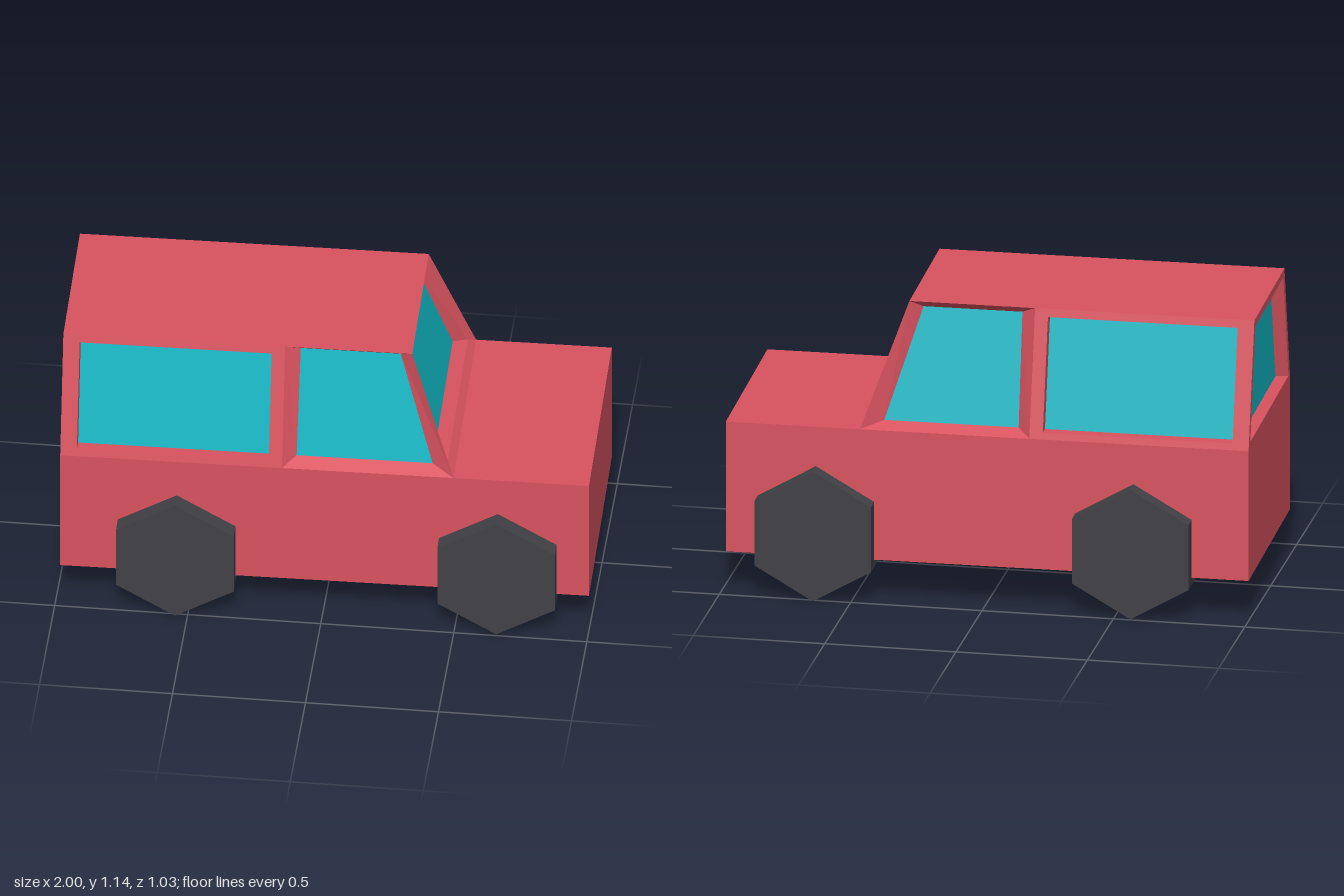
import * as THREE from 'three';

const Y0 = 0.665, Y1 = 1.14;          // cabin base and roof heights
const BACK = -0.992, COWL = 0.483, BROW = 0.317; // cabin ends along x
const W0 = 0.437, W1 = 0.316;         // half widths at base and roof
const halfWidth = y => THREE.MathUtils.lerp(W0, W1, (y - Y0) / (Y1 - Y0));

function mat(name, color) {
  const m = new THREE.MeshStandardMaterial({ color });
  m.name = name;
  return m;
}

// Flat-shaded mesh from quads whose corners run counter-clockwise from outside
function quadMesh(name, quads, material) {
  const pos = [];
  for (const [a, b, c, d] of quads) pos.push(...a, ...b, ...c, ...a, ...c, ...d);
  const g = new THREE.BufferGeometry();
  g.setAttribute('position', new THREE.Float32BufferAttribute(pos, 3));
  g.computeVertexNormals();
  const mesh = new THREE.Mesh(g, material);
  mesh.name = name;
  return mesh;
}

// Strip of quads joining an outer ring to an inner ring
const band = (outer, inner) => outer.map((p, i) => {
  const j = (i + 1) % outer.length;
  return [p, outer[j], inner[j], inner[i]];
});

// Points on the sloping left side, optionally sunk inwards
const onSide = (pts, sink = 0) => pts.map(([x, y]) => [x, y, halfWidth(y) - sink]);
const mirror = ring => ring.map(([x, y, z]) => [x, y, -z]).reverse();

export function createModel() {
  const paint = mat('red paint', 0xd8535f);
  const glass = mat('teal glass', 0x11b6c2);
  const rubber = mat('dark rubber', 0x414147);
  const car = new THREE.Group();
  car.name = 'car';

  // Lower body
  const body = new THREE.Mesh(new THREE.BoxGeometry(1.984, Y0 - 0.155, 2 * W0), paint);
  body.name = 'lowerBody';
  body.position.y = (Y0 + 0.155) / 2;
  car.add(body);

  // Roof
  car.add(quadMesh('roof', [[
    [BACK, Y1, W1], [BROW, Y1, W1], [BROW, Y1, -W1], [BACK, Y1, -W1],
  ]], paint));

  // Each window is a list of rings: outer edge, reveal, glass
  const SINK = 0.046;
  const rearHole = [[-0.93, 0.69], [-0.21, 0.69], [-0.21, 1.11], [-0.93, 1.11]];
  const rearSide = [
    onSide([[BACK, Y0], [-0.16, Y0], [-0.16, Y1], [BACK, Y1]]),
    onSide(rearHole),
    onSide(rearHole, SINK),
  ];
  const frontSide = [
    onSide([[-0.16, Y0], [COWL, Y0], [BROW, Y1], [-0.16, Y1]]),
    onSide([[-0.11, 0.69], [0.4, 0.69], [0.27, 1.11], [-0.105, 1.11]], SINK),
  ];
  const across = (x0, y0, w0, x1, y1, w1) =>
    [[x0, y0, w0], [x0, y0, -w0], [x1, y1, -w1], [x1, y1, w1]];
  const windshield = [
    across(COWL, Y0, W0, BROW, Y1, W1),
    across(0.455, 0.688, 0.405, 0.298, 1.122, 0.296),
    across(0.4, 0.69, 0.385, 0.27, 1.11, 0.278),
  ];
  const rear = [
    across(BACK, Y0, W0, BACK, Y1, W1),
    across(BACK, 0.69, 0.4, BACK, 1.11, 0.293),
    across(-0.945, 0.69, 0.385, -0.945, 1.11, 0.278),
  ].map(r => r.reverse());

  const windows = {
    leftRear: rearSide, rightRear: rearSide.map(mirror),
    leftFront: frontSide, rightFront: frontSide.map(mirror),
    windshield, back: rear,
  };
  for (const [name, rings] of Object.entries(windows)) {
    const frame = [];
    for (let i = 1; i < rings.length; i++) frame.push(...band(rings[i - 1], rings[i]));
    car.add(quadMesh(name + 'Frame', frame, paint));
    car.add(quadMesh(name + 'Glass', [rings[rings.length - 1]], glass));
  }

  // Six-sided wheel rollers spanning the full width
  const wheelGeo = new THREE.CylinderGeometry(0.255, 0.255, 1.006, 6).toNonIndexed();
  wheelGeo.rotateX(Math.PI / 2);
  wheelGeo.computeVertexNormals();
  for (const [name, x] of [['rearWheels', -0.555], ['frontWheels', 0.65]]) {
    const w = new THREE.Mesh(wheelGeo, rubber);
    w.name = name;
    w.position.set(x, 0.255, 0);
    car.add(w);
  }

  // The car stands very slightly turned
  car.rotation.y = 0.0166;
  const model = new THREE.Group();
  model.name = 'model';
  model.add(car);
  return model;
}
